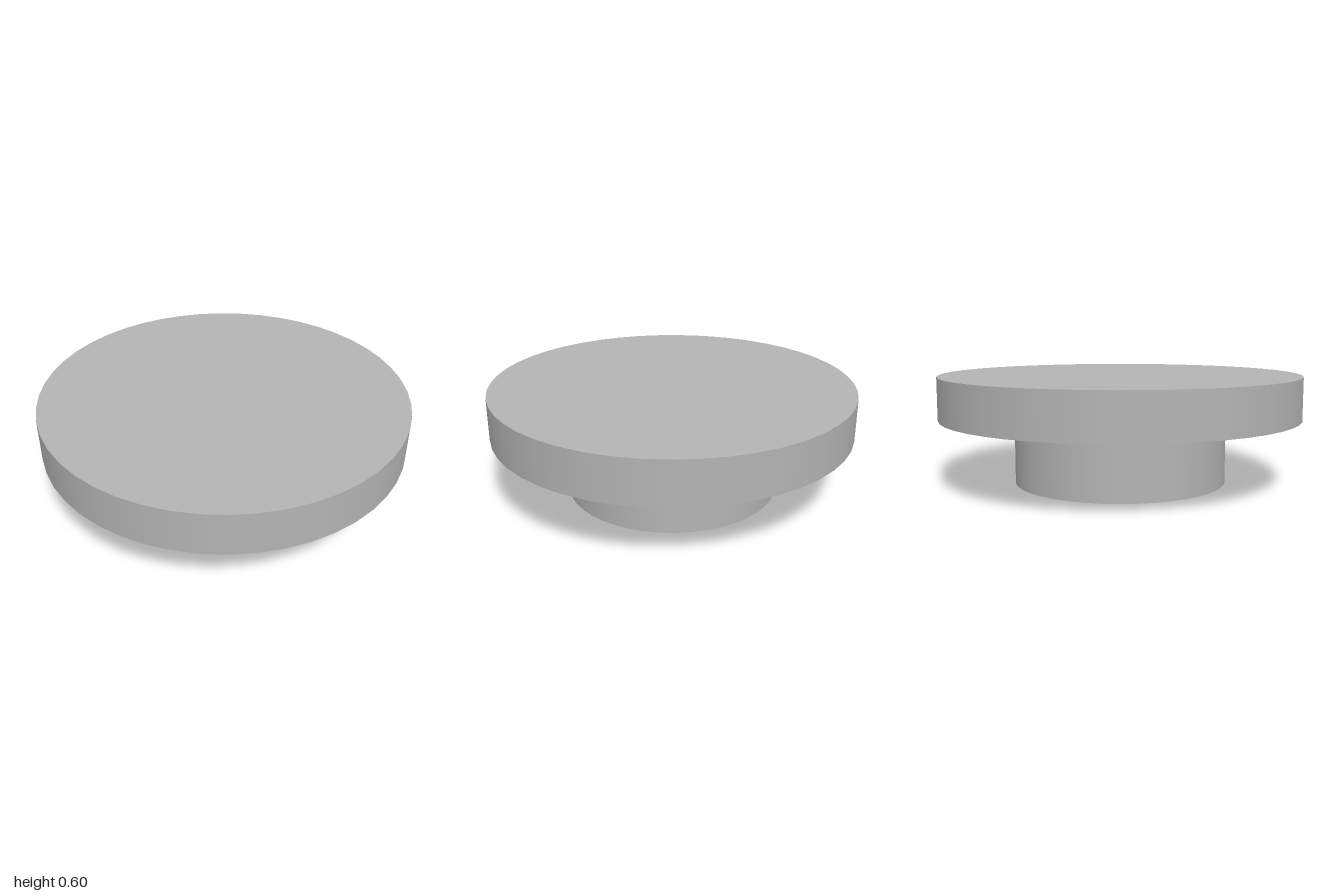
import * as THREE from 'three';
import { mergeGeometries } from 'three/addons/utils/BufferGeometryUtils.js';

const SIDES = 48;

// Turn a profile around y, keeping every corner of the profile sharp.
function turned(profile) {
  const bands = [];
  for (let i = 0; i < profile.length - 1; i++) {
    const ends = [profile[i], profile[i + 1]].map(([r, y]) => new THREE.Vector2(r, y));
    bands.push(new THREE.LatheGeometry(ends, SIDES));
  }
  return mergeGeometries(bands);
}

export function createModel() {
  const model = new THREE.Group();
  const grey = new THREE.MeshStandardMaterial({ color: 0xb4b4b4 });
  grey.name = 'plain grey';

  const discBottom = 0.365, discTop = 0.6;

  // Wide flat disc
  const disc = new THREE.Mesh(
    new THREE.CylinderGeometry(1, 1, discTop - discBottom, SIDES), grey);
  disc.position.y = (discTop + discBottom) / 2;
  disc.name = 'disc';

  // Hollow collar beneath: stepped bore, bottom rim, outer wall
  const collar = new THREE.Mesh(turned([
    [0.425, discBottom],
    [0.425, 0.13],
    [0.47, 0.13],
    [0.47, 0],
    [0.59, 0],
    [0.59, discBottom],
  ]), grey);
  collar.name = 'collar';

  model.add(disc, collar);
  return model;
}
